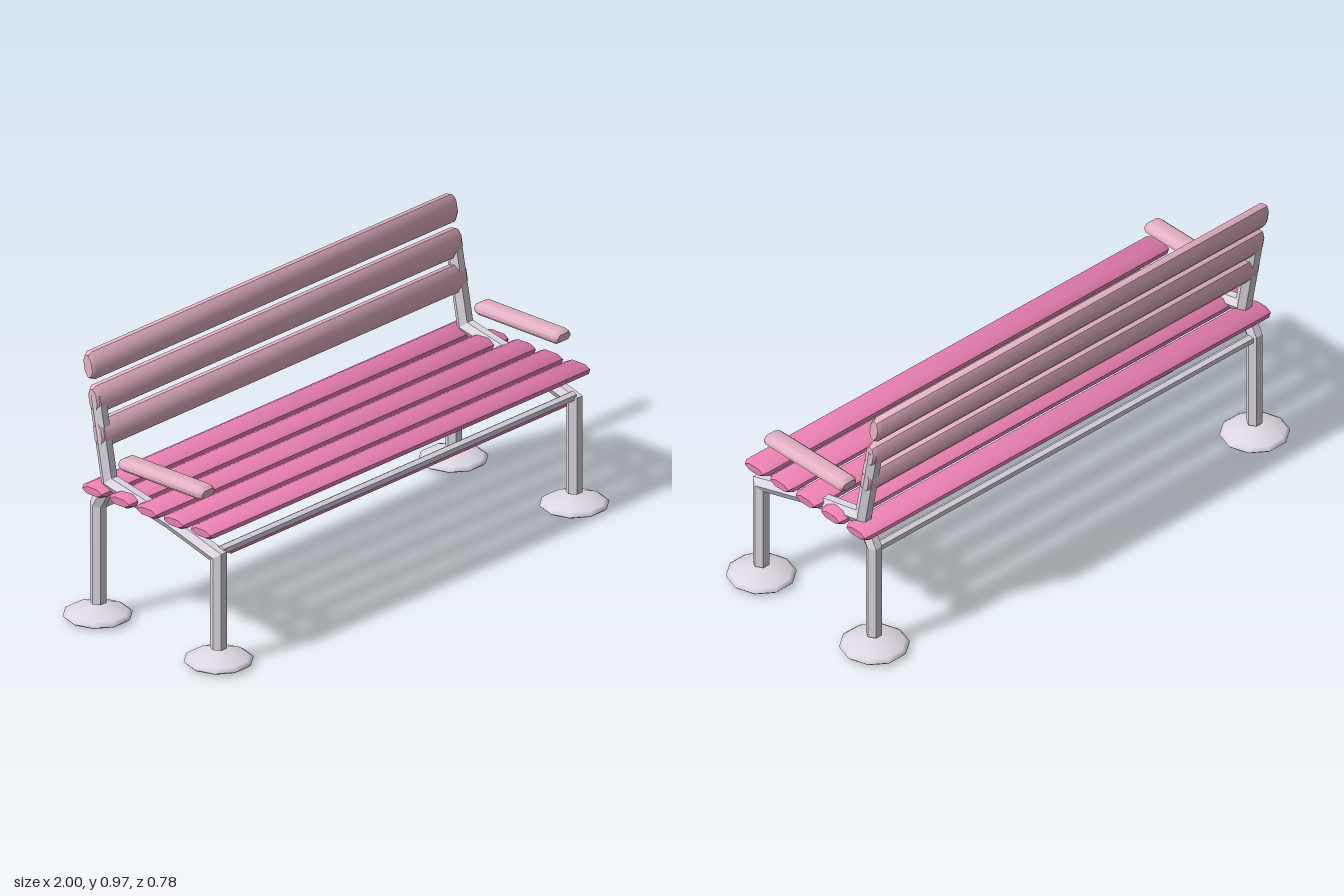
import * as THREE from 'three';
import { toCreasedNormals } from 'three/addons/utils/BufferGeometryUtils.js';

const paint = (color, flatShading = false) => new THREE.MeshStandardMaterial({ color, flatShading });

// Hexagonal pipe along a bent [z, y] path at a fixed x, mitred at each bend
function pipe(x, path, r) {
  const pos = [], idx = [], n = 6;
  const pts = path.map(([z, y]) => new THREE.Vector2(z, y));
  const last = pts.length - 1;
  pts.forEach((p, i) => {
    const before = p.clone().sub(pts[Math.max(i - 1, 0)]).normalize();
    const after = pts[Math.min(i + 1, last)].clone().sub(p).normalize();
    const t = before.clone().add(after).normalize();
    const widen = 1 / t.dot(i ? before : after);
    for (let j = 0; j < n; j++) {
      const a = (j / n) * Math.PI * 2;
      const s = Math.sin(a) * r * widen;
      pos.push(x + Math.cos(a) * r, p.y + t.x * s, p.x - t.y * s);
    }
  });
  for (let i = 0; i < last; i++) {
    for (let j = 0; j < n; j++) {
      const k = (j + 1) % n, a = i * n;
      idx.push(a + j, a + k, a + n + k, a + j, a + n + k, a + n + j);
    }
  }
  for (let j = 1; j < n - 1; j++) {
    idx.push(0, j + 1, j, last * n, last * n + j, last * n + j + 1);
  }
  const g = new THREE.BufferGeometry();
  g.setAttribute('position', new THREE.Float32BufferAttribute(pos, 3));
  g.setIndex(idx);
  g.computeVertexNormals();
  return g;
}

// Board lying along x: bevelled outline (depth along z, height along y) with chamfered ends
function board(length, depth, height, cutZ, cutY, end = 0.015) {
  const b = 0.009, w = depth / 2 - b, h = height / 2 - b;
  const cz = cutZ - b / 2, cy = Math.min(cutY, h * 0.85);
  const s = new THREE.Shape([
    [w, -h + cy], [w, h - cy], [w - cz, h], [-w + cz, h],
    [-w, h - cy], [-w, -h + cy], [-w + cz, -h], [w - cz, -h],
  ].map(([px, py]) => new THREE.Vector2(px, py)));
  const g = new THREE.ExtrudeGeometry(s, {
    depth: length - 2 * end, bevelEnabled: true, bevelSegments: 1, bevelSize: b, bevelThickness: end,
  });
  g.translate(0, 0, -(length - 2 * end) / 2);
  g.rotateY(Math.PI / 2);
  return toCreasedNormals(g, 0.9);
}

export function createModel() {
  const model = new THREE.Group();
  model.name = 'bench';
  const metal = paint(0xded8e2, true);
  const footMetal = paint(0xded8e2);
  const seatPink = paint(0xe87fb0);
  const backPink = paint(0xe6b3c6);

  const add = (name, geometry, material, x = 0, y = 0, z = 0) => {
    const m = new THREE.Mesh(geometry, material);
    m.name = name;
    m.position.set(x, y, z);
    model.add(m);
    return m;
  };

  // Shallow domed foot, ten-sided
  const foot = new THREE.LatheGeometry([
    [0, 0], [0.085, 0.002], [0.112, 0.007], [0.12, 0.015],
    [0.105, 0.025], [0.065, 0.039], [0.025, 0.046], [0, 0.047],
  ].map(([r, y]) => new THREE.Vector2(r, y)), 10);
  foot.rotateY(Math.PI / 2);

  const armrest = board(0.385, 0.08, 0.044, 0.016, 0.014);
  armrest.rotateY(Math.PI / 2);

  for (const [side, s] of [['left', 1], ['right', -1]]) {
    const x = 0.878 * s;
    // Front leg, seat support and back upright are one bent pipe
    add(side + 'Frame', pipe(x, [
      [0.277, 0.057], [0.277, 0.393], [0.055, 0.458], [-0.222, 0.517], [-0.279, 0.82],
    ], 0.029), metal);
    add(side + 'BackLeg', pipe(x, [[-0.275, 0.057], [-0.275, 0.42], [-0.232, 0.497]], 0.028), metal);
    add(side + 'FrontFoot', foot, footMetal, x, 0, 0.277);
    add(side + 'BackFoot', foot, footMetal, x, 0, -0.277);
    add(side + 'Armrest', armrest, backPink, x, 0.61, 0.038);
  }

  // Rails joining the two frames
  const rail = new THREE.CylinderGeometry(0.018, 0.018, 1.74, 6, 1, false, Math.PI / 2);
  rail.rotateZ(Math.PI / 2);
  add('frontRail', rail, metal, 0, 0.412, 0.279);
  add('backRail', rail, metal, 0, 0.412, -0.275);
  add('railStrip', new THREE.BoxGeometry(1.66, 0.013, 0.022), seatPink, 0, 0.396, 0.277);

  // Seat slats
  const slat = board(1.875, 0.105, 0.044, 0.026, 0.014);
  for (let i = 0; i < 5; i++) {
    add('seatSlat' + (i + 1), slat, seatPink, 0, 0.49, 0.25 - i * 0.1245);
  }

  // Back boards, leaning with the uprights
  const backBoard = board(1.805, 0.053, 0.096, 0.015, 0.02);
  [[0.687, -0.254], [0.806, -0.277], [0.924, -0.299]].forEach(([y, z], i) => {
    add('backBoard' + (i + 1), backBoard, backPink, 0, y, z).rotation.x = -0.185;
  });

  return model;
}
